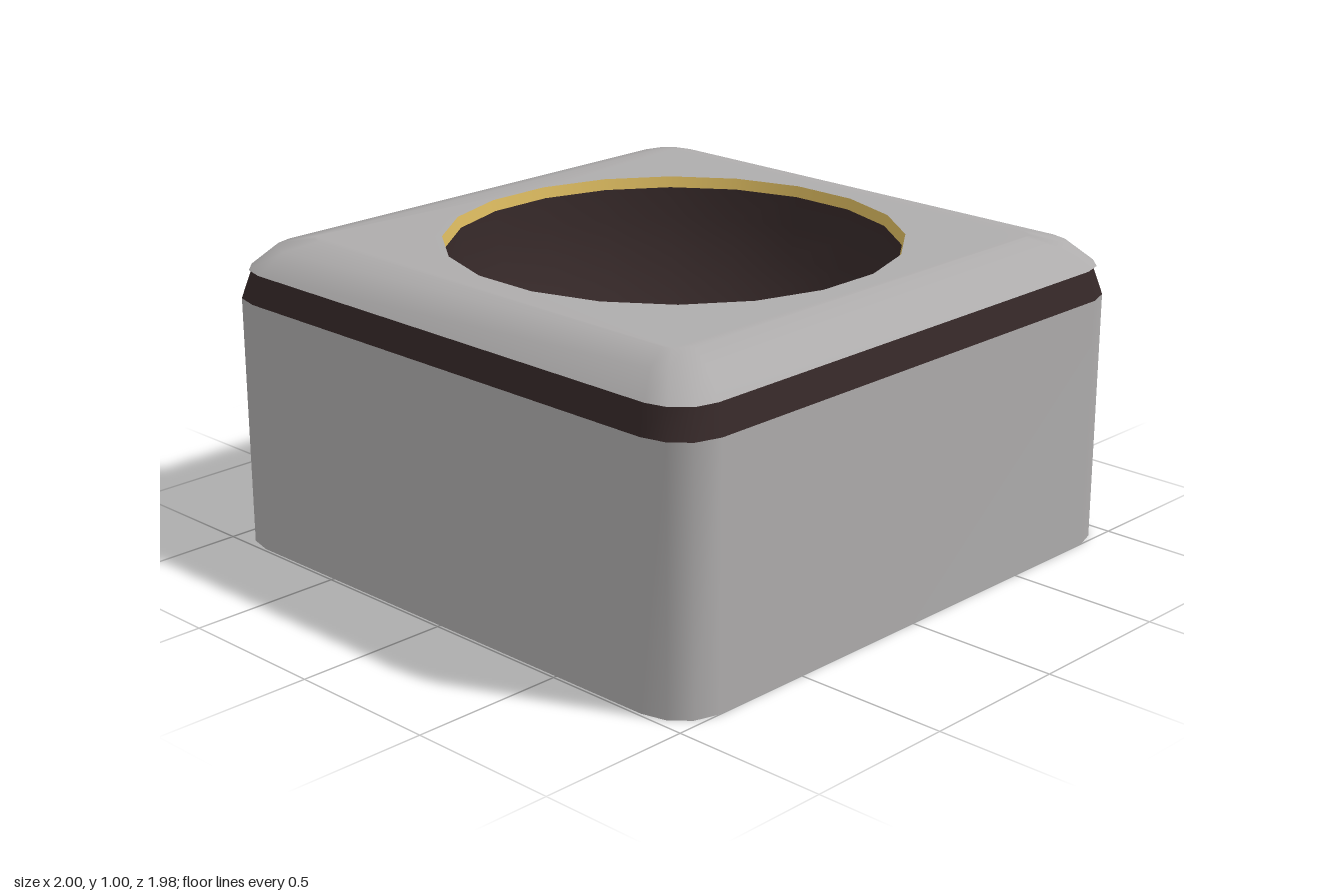
import * as THREE from 'three';
import { mergeGeometries, mergeVertices } from 'three/addons/utils/BufferGeometryUtils.js';

const SIDES = 20;      // facets of the round opening
const RIM = 0.72;      // radius of the opening
const CENTRE_Z = -0.01;

function material(name, color) {
  const m = new THREE.MeshStandardMaterial({ color, side: THREE.DoubleSide });
  m.name = name;
  return m;
}

// Skin a stack of rings (arrays of [x, y, z], counterclockwise from above)
function loft(rings, closed) {
  const n = rings[0].length;
  const index = [];
  for (let i = 0; i < rings.length - 1; i++) {
    for (let j = 0; j < (closed ? n : n - 1); j++) {
      const k = (j + 1) % n;
      const a = i * n + j, b = i * n + k, c = a + n, d = b + n;
      index.push(a, b, d, a, d, c);
    }
  }
  const g = new THREE.BufferGeometry();
  g.setAttribute('position', new THREE.Float32BufferAttribute(rings.flat(2), 3));
  g.setIndex(index);
  g.computeVertexNormals();
  return g;
}

// Rounded rectangle with its own front and back limits
function roundedRing(halfX, front, back, r, y) {
  const corners = [[1, back + r], [-1, back + r], [-1, front - r], [1, front - r]];
  const ring = [];
  corners.forEach(([side, cz], c) => {
    for (let s = 0; s <= 3; s++) {
      const t = (c + s / 3) * Math.PI / 2;
      ring.push([side * (halfX - r) + r * Math.cos(t), y, cz - r * Math.sin(t)]);
    }
  });
  return ring;
}

// Plan of the three-sided wall, open at the back with short returns
const rightPlan = [[0.92, -0.99], [0.975, -0.925], [1, -0.85], [1, 0.84],
  [0.975, 0.92], [0.92, 0.97], [0.84, 0.99]];
const wallPlan = [...rightPlan.map(([x, z]) => [-x, z]), ...[...rightPlan].reverse()];
const wallRing = (y, scale) => wallPlan.map(([x, z]) => [x * scale, y, z * scale]);

// Bevelled cover: rounded edge plus flat top pierced by the opening
function coverGeometry() {
  const rings = [
    roundedRing(0.975, 0.968, -0.985, 0.14, 0.905),
    roundedRing(0.9, 0.9, -0.91, 0.11, 0.975),
    roundedRing(0.8, 0.8, -0.81, 0.06, 1),
  ];
  const edge = loft(rings, true);
  const shape = new THREE.Shape(rings[2].map(([x, , z]) => new THREE.Vector2(x, -z)));
  const hole = [];
  for (let i = 0; i < SIDES; i++) {
    const t = (i + 0.5) / SIDES * Math.PI * 2;
    hole.push(new THREE.Vector2(RIM * Math.sin(t), RIM * Math.cos(t) - CENTRE_Z));
  }
  shape.holes.push(new THREE.Path(hole));
  const top = new THREE.ShapeGeometry(shape).rotateX(-Math.PI / 2).translate(0, 1, 0);
  for (const g of [edge, top]) {
    g.deleteAttribute('normal');
    g.deleteAttribute('uv');
  }
  const cover = mergeVertices(mergeGeometries([edge, top]), 1e-4);
  cover.computeVertexNormals();
  return cover;
}

// Turned part around the opening
function turned(points) {
  const profile = points.map(([r, y]) => new THREE.Vector2(r, y));
  return new THREE.LatheGeometry(profile, SIDES, Math.PI / SIDES).translate(0, 0, CENTRE_Z);
}

export function createModel() {
  const model = new THREE.Group();
  model.name = 'basinBlock';
  const grey = material('stone grey', 0xaeacac);
  const brown = material('dark brown', 0x352828);
  const gold = material('gold', 0xd4b45c);

  const add = (name, geometry, mat) => {
    const mesh = new THREE.Mesh(geometry, mat);
    mesh.name = name;
    model.add(mesh);
  };

  add('walls', loft([wallRing(0, 1), wallRing(0.815, 1)], false), grey);
  add('darkBand', loft([wallRing(0.815, 1), wallRing(0.905, 0.975)], false), brown);
  add('cover', coverGeometry(), grey);

  // Thin gold lip, then the bowl hanging below it
  add('goldRim', turned([[0.71, 0.965], [RIM, 1]]), gold);
  const bowl = [];
  for (let i = 0; i <= 10; i++) {
    const t = i / 10 * Math.PI / 2;
    bowl.push([0.71 * Math.sin(t), 0.965 - 0.65 * Math.cos(t)]);
  }
  add('bowl', turned(bowl), brown);
  return model;
}
